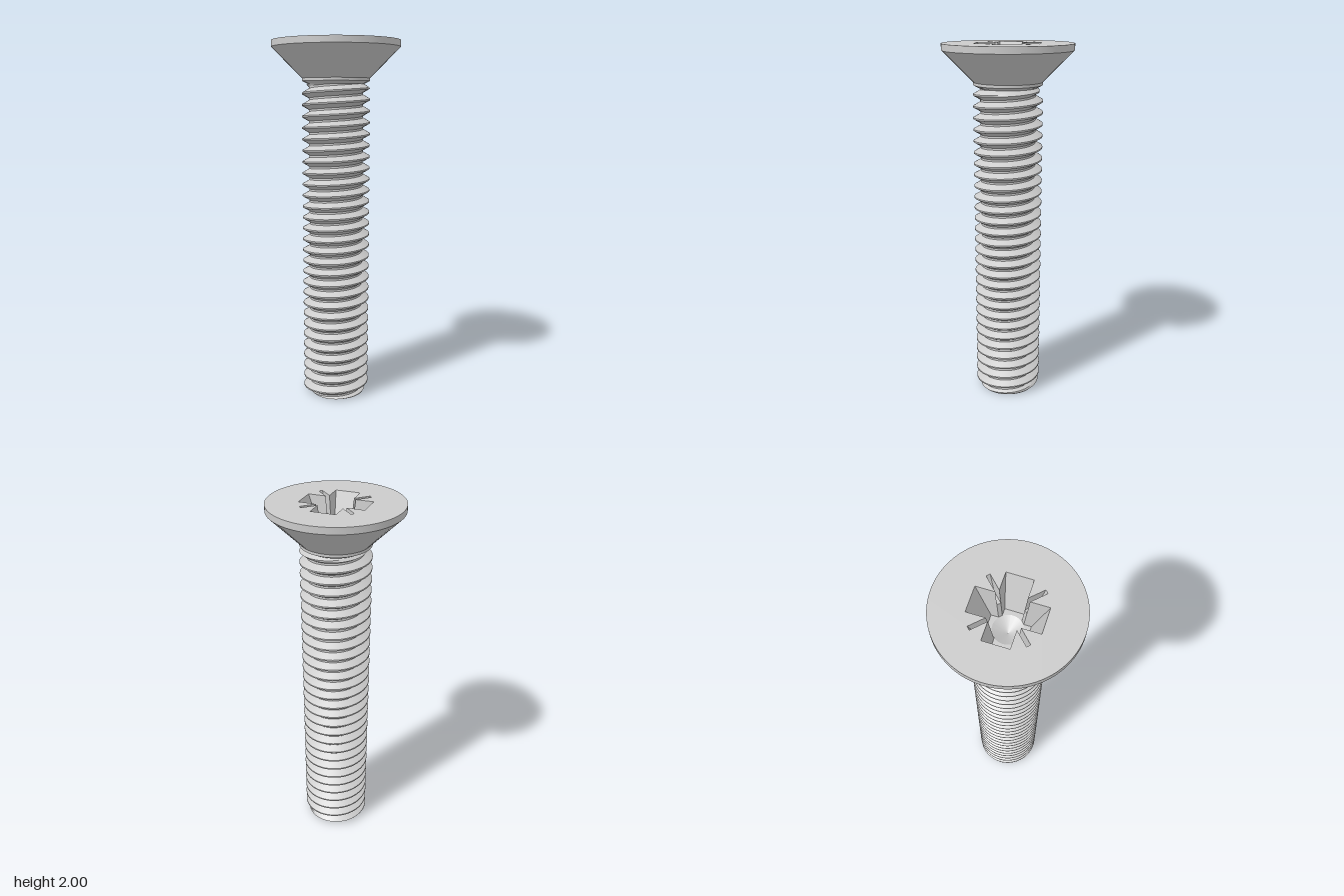
import * as THREE from 'three';
import { toCreasedNormals } from 'three/addons/utils/BufferGeometryUtils.js';

const TAU = Math.PI * 2;
const PITCH = 0.0625, CREST = 0.1875, ROOT = 0.149;
const START = 0.045;          // height of the crest at the front
const THREAD_TOP = 1.77, FLOOR = 1.8, TOP = 2;

const clamp = THREE.MathUtils.clamp;
const lerp = THREE.MathUtils.lerp;

// Thread radius at an angle (0 = front, towards +x) and height
function threadRadius(angle, y) {
  const turns = (y - START) / PITCH - angle / TAU;
  const d = Math.abs(turns - Math.round(turns)) * PITCH;
  const r = Math.max(ROOT, CREST - Math.max(0, d - PITCH / 16) * Math.sqrt(3));
  return Math.min(r, 0.162 + y, 0.155 + (THREAD_TOP - y) * 1.5);
}

// Collects flat quads as triangles, skipping collapsed ones
function quadBuilder() {
  const pos = [];
  const tri = (a, b, c) => {
    if (new THREE.Triangle(a, b, c).getArea() > 1e-9) for (const p of [a, b, c]) pos.push(p.x, p.y, p.z);
  };
  return {
    quad(a, b, c, d) { tri(a, b, c); tri(a, c, d); },
    build() {
      const g = new THREE.BufferGeometry();
      g.setAttribute('position', new THREE.Float32BufferAttribute(pos, 3));
      g.computeVertexNormals();
      return g;
    },
  };
}

// Helical surface whose rows follow the crests, flanks and roots
function threadGeometry() {
  const SEG = 72, q = quadBuilder(), rows = [];
  for (let k = -2; k < 29; k++) {
    for (const f of [0.0625, 0.24, 0.4176, 0.5824, 0.76, 0.9375]) rows.push(START + (k + f) * PITCH);
  }
  const point = (base, i) => {
    const a = (i / SEG) * TAU;
    const y = clamp(base + (PITCH * i) / SEG, 0, THREAD_TOP);
    const r = threadRadius(a, y);
    return new THREE.Vector3(r * Math.sin(a), y, r * Math.cos(a));
  };
  for (let j = 0; j < rows.length - 1; j++) {
    for (let i = 0; i < SEG; i++) {
      q.quad(point(rows[j], i), point(rows[j], i + 1), point(rows[j + 1], i + 1), point(rows[j + 1], i));
    }
  }
  return toCreasedNormals(q.build(), 0.5);
}

// Recess outline at depth t (0 = top, 1 = floor); the thin diagonal slots are optional
function recessOutline(t, slots) {
  const w = lerp(0.065, 0.047, t), len = lerp(0.172, 0.097, t);
  const end = lerp(0.19, 0.155, t * 2) * Math.SQRT1_2, h = 0.007;
  const quarter = [[len, -w], [len, w], [w + 2 * h, w]];
  if (slots) quarter.push([end + h, end - h], [end - h, end + h]);
  quarter.push([w, w + 2 * h]);
  const out = [];
  for (let k = 0; k < 4; k++) {
    const c = Math.round(Math.cos(k * Math.PI / 2)), s = Math.round(Math.sin(k * Math.PI / 2));
    for (const [x, z] of quarter) out.push(new THREE.Vector2(x * c - z * s, x * s + z * c));
  }
  return out;
}

// Tapered recess walls with the shallow floors of the diagonal slots
function recessGeometry() {
  const q = quadBuilder(), MID = (TOP + FLOOR) / 2;
  const lift = (pts, y) => pts.map((p) => new THREE.Vector3(p.x, y, p.y));
  const walls = (low, high) => low.forEach((p, i) => {
    const n = (i + 1) % low.length;
    q.quad(p, low[n], high[n], high[i]);
  });
  const middle = lift(recessOutline(0.5, true), MID);
  walls(middle, lift(recessOutline(0, true), TOP));
  walls(lift(recessOutline(1, false), FLOOR), lift(recessOutline(0.5, false), MID));
  for (let k = 0; k < 4; k++) {
    const [a, b, c, d] = middle.slice(k * 6 + 2, k * 6 + 6);
    q.quad(d, c, b, a);
  }
  return q.build();
}

// Flat upward face with a hole
function plate(shape, hole, y) {
  shape.holes.push(hole);
  return new THREE.ShapeGeometry(shape, 96).rotateX(-Math.PI / 2).translate(0, y, 0);
}
const circle = (r) => new THREE.Shape().absarc(0, 0, r, 0, TAU, false);

function lathe(points) {
  return toCreasedNormals(new THREE.LatheGeometry(points.map(([x, y]) => new THREE.Vector2(x, y)), 96), 0.5);
}

export function createModel() {
  const group = new THREE.Group();
  const material = new THREE.MeshStandardMaterial({ color: 0xcccccc });
  const add = (name, geometry) => {
    const mesh = new THREE.Mesh(geometry, material);
    mesh.name = name;
    group.add(mesh);
  };

  // Threaded shank and its flat tip
  add('thread', threadGeometry());
  const rim = [];
  for (let i = 0; i < 72; i++) {
    const a = (i / 72) * TAU, r = threadRadius(a, 0);
    rim.push(new THREE.Vector2(r * Math.sin(a), r * Math.cos(a)));
  }
  add('tip', new THREE.ShapeGeometry(new THREE.Shape(rim)).rotateX(Math.PI / 2));

  // Countersunk head with the neck below it
  add('head', lathe([[0.155, THREAD_TOP], [0.186, 1.786], [0.186, 1.801], [0.35, 1.965], [0.35, TOP]]));
  add('headTop', plate(circle(0.35), new THREE.Path(recessOutline(0, true)), TOP));

  // Cross recess with a conical bottom
  add('recess', recessGeometry());
  add('recessFloor', plate(new THREE.Shape(recessOutline(1, false)), circle(0.075), FLOOR));
  add('recessCone', lathe([[0.075, FLOOR], [0, FLOOR - 0.04]]));

  return group;
}
